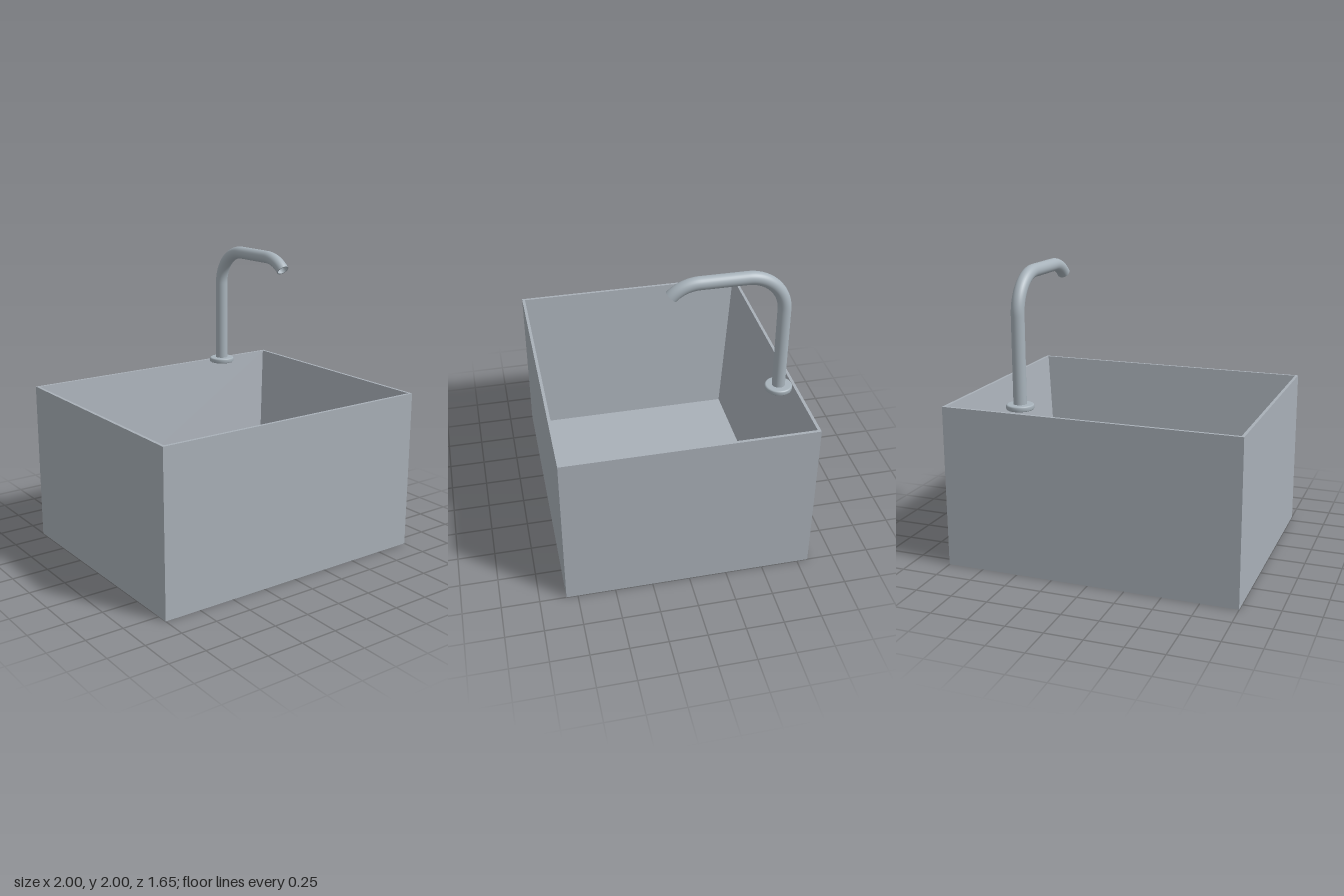
import * as THREE from 'three';

const FLOOR = 0.03, RIM = 1.1, TAP_X = 0.5, TAP_Z = -0.7, PIPE_R = 0.043, BORE_R = 0.036;

const material = (name, color, side = THREE.FrontSide) => {
  const m = new THREE.MeshStandardMaterial({ color, side });
  m.name = name;
  return m;
};

function addMesh(parent, name, geometry, mat, x = 0, y = 0, z = 0) {
  const mesh = new THREE.Mesh(geometry, mat);
  mesh.name = name;
  mesh.position.set(x, y, z);
  parent.add(mesh);
  return mesh;
}

// Thin-rimmed tub with sloping inner walls, built from rectangular rings
function basinGeometry() {
  const ring = (hx, y, hz) => [[-hx, y, hz], [hx, y, hz], [hx, y, -hz], [-hx, y, -hz]];
  const rings = [
    ring(1, 0, 0.825), ring(1, RIM, 0.825),
    ring(0.98, RIM, 0.805), ring(0.873, FLOOR, 0.7),
  ];
  const pos = [];
  const quad = (a, b, c, d) => pos.push(...a, ...b, ...c, ...a, ...c, ...d);
  for (let r = 0; r < 3; r++) {
    for (let i = 0; i < 4; i++) {
      const j = (i + 1) % 4;
      quad(rings[r][i], rings[r][j], rings[r + 1][j], rings[r + 1][i]);
    }
  }
  quad(...rings[3]);
  quad(...[...rings[0]].reverse());
  const g = new THREE.BufferGeometry();
  g.setAttribute('position', new THREE.Float32BufferAttribute(pos, 3));
  g.computeVertexNormals();
  return g;
}

// Spout centreline: up, quarter bend, level run, 45 degree drop
class SpoutCurve extends THREE.Curve {
  constructor() {
    super();
    this.profile = new THREE.Path();
    this.profile.moveTo(TAP_Z, RIM);
    this.profile.lineTo(TAP_Z, 1.707);
    this.profile.absarc(-0.45, 1.707, 0.25, Math.PI, Math.PI / 2, true);
    this.profile.lineTo(-0.15, 1.957);
    this.profile.absarc(-0.15, 1.707, 0.25, Math.PI / 2, Math.PI / 4, true);
  }
  getPoint(t, target = new THREE.Vector3()) {
    const p = this.profile.getPointAt(t);
    return target.set(0, p.y, p.x);
  }
}

export function createModel() {
  const model = new THREE.Group();
  model.name = 'sinkWithTap';
  const steel = material('brushed steel', 0xa9b0b8);
  const tapSteel = material('tap steel', 0xa8b3bb, THREE.DoubleSide);
  const dark = material('drain dark', 0x202a2b);

  addMesh(model, 'basin', basinGeometry(), steel);

  // Drain with a grille of thin bars
  const drain = new THREE.Group();
  drain.name = 'drain';
  drain.position.y = FLOOR;
  model.add(drain);
  addMesh(drain, 'drainPlate', new THREE.CylinderGeometry(0.095, 0.095, 0.008, 40), dark, 0, 0.004, 0);
  for (let i = -2; i <= 2; i++) {
    addMesh(drain, 'drainBar', new THREE.BoxGeometry(0.12, 0.004, 0.007), steel, 0, 0.01, 0.01 + i * 0.025);
  }

  // Tap with rounded base flange and hollow spout
  const tap = new THREE.Group();
  tap.name = 'tap';
  tap.position.x = TAP_X;
  model.add(tap);

  const flange = [[0, 0], [0.084, 0], [0.09, 0.006], [0.09, 0.026], [0.087, 0.032], [0.08, 0.035], [0, 0.035]]
    .map(([r, y]) => new THREE.Vector2(r, y));
  addMesh(tap, 'baseFlange', new THREE.LatheGeometry(flange, 40), tapSteel, 0, RIM, TAP_Z);

  const curve = new SpoutCurve();
  addMesh(tap, 'spout', new THREE.TubeGeometry(curve, 90, PIPE_R, 28), tapSteel);
  addMesh(tap, 'spoutBore', new THREE.TubeGeometry(curve, 90, BORE_R, 28), tapSteel);

  const end = curve.getPoint(1);
  const lip = addMesh(tap, 'spoutLip', new THREE.RingGeometry(BORE_R, PIPE_R, 28), tapSteel, end.x, end.y, end.z);
  lip.rotation.x = Math.PI / 4;

  return model;
}
